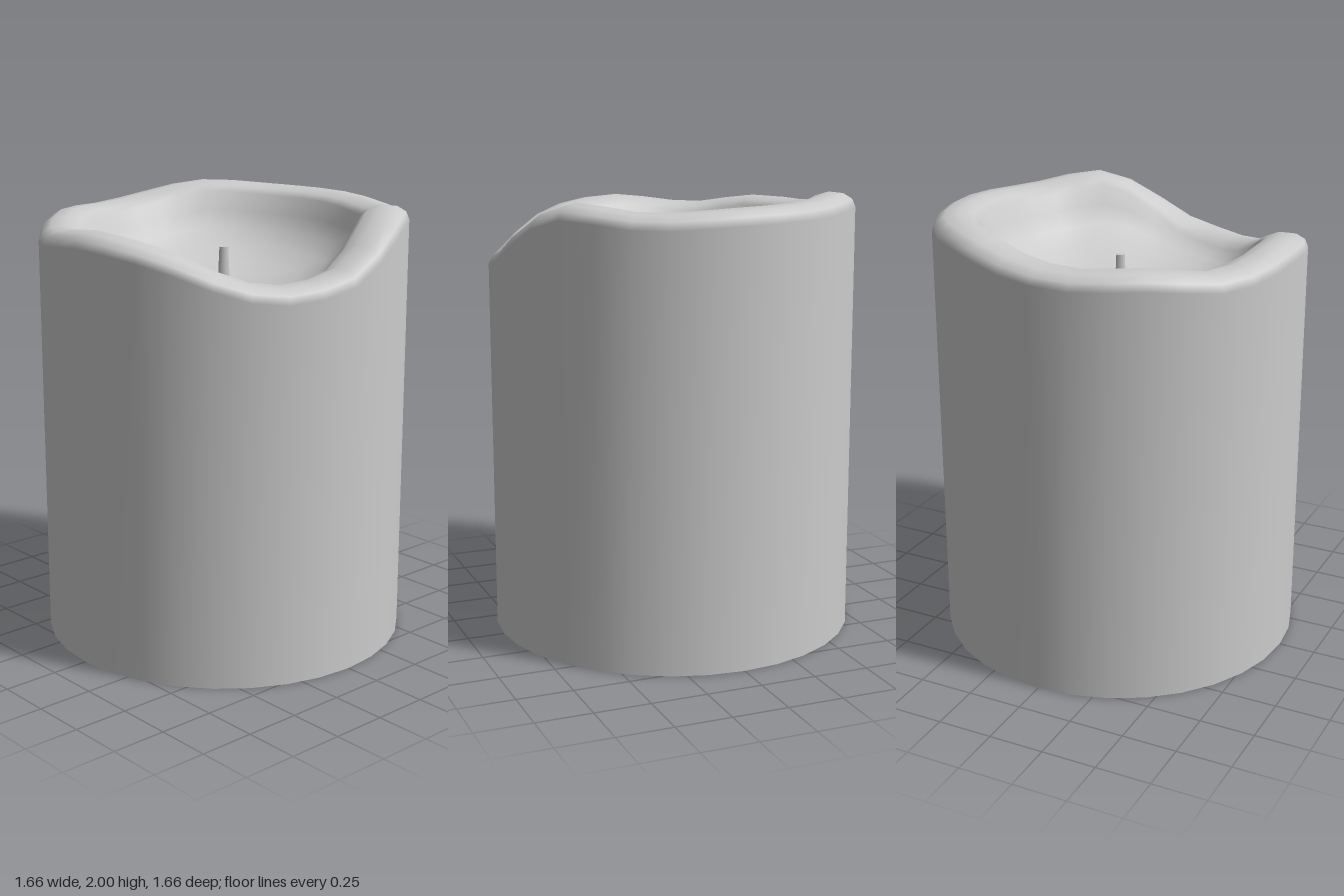
import * as THREE from 'three';

const SIDES = 32, RADIUS = 0.83, FLOOR = 1.62;

// Crest height of the melted rim, every 15 degrees from +x towards +z
const CREST = [
  1.78, 1.74, 1.74, 1.80, 1.875, 1.915, 1.93, 1.91, 1.89, 1.915, 1.935, 1.925,
  1.935, 1.965, 2.0, 1.998, 1.985, 1.98, 1.975, 1.965, 1.957, 1.98, 1.985, 1.89,
];
const crestCurve = new THREE.SplineCurve(
  [...CREST, CREST[0]].map((h, i) => new THREE.Vector2(i, h)));

// Rounded lip: [radius, drop below the crest]
const LIP = [[0.83, 0.065], [0.815, 0.03], [0.775, 0.006], [0.71, 0], [0.65, 0.018], [0.62, 0.042]];
// Bowl: [radius, share of the depth between lip and floor]
const BOWL = [[0.59, 0.74], [0.54, 0.5], [0.46, 0.29], [0.34, 0.12], [0.18, 0.03], [0, 0]];

// Profile of the wax from the foot up over the lip and down to the bowl centre
function profile(h) {
  const lipEnd = h - LIP[LIP.length - 1][1];
  return [
    [RADIUS, 0],
    ...LIP.map(([r, drop]) => [r, h - drop]),
    ...BOWL.map(([r, f]) => [r, FLOOR + (lipEnd - FLOOR) * f]),
  ];
}

function waxGeometry() {
  const positions = [], index = [];
  const rows = 1 + LIP.length + BOWL.length;
  for (let i = 0; i < SIDES; i++) {
    const a = (i / SIDES) * Math.PI * 2;
    for (const [r, y] of profile(crestCurve.getPoint(i / SIDES).y)) {
      positions.push(r * Math.cos(a), y, r * Math.sin(a));
    }
    const c = i * rows, n = ((i + 1) % SIDES) * rows;
    for (let j = 0; j < rows - 1; j++) {
      index.push(c + j, c + j + 1, n + j);
      if (j < rows - 2) index.push(n + j, c + j + 1, n + j + 1);
    }
  }
  const geometry = new THREE.BufferGeometry();
  geometry.setAttribute('position', new THREE.Float32BufferAttribute(positions, 3));
  geometry.setIndex(index);
  geometry.computeVertexNormals();
  return geometry;
}

export function createModel() {
  const group = new THREE.Group();
  group.name = 'candle';
  const material = new THREE.MeshStandardMaterial({ color: 0xcccccc });
  const add = (name, geometry) => {
    const mesh = new THREE.Mesh(geometry, material);
    mesh.name = name;
    group.add(mesh);
    return mesh;
  };

  // Wax body with wavy lip and melted hollow
  add('waxBody', waxGeometry());

  // Flat underside
  add('base', new THREE.CircleGeometry(RADIUS, SIDES).rotateX(Math.PI / 2));

  // Six-sided wick, slightly tapered
  add('wick', new THREE.CylinderGeometry(0.021, 0.029, 0.17, 6)).position.y = FLOOR + 0.08;

  return group;
}
